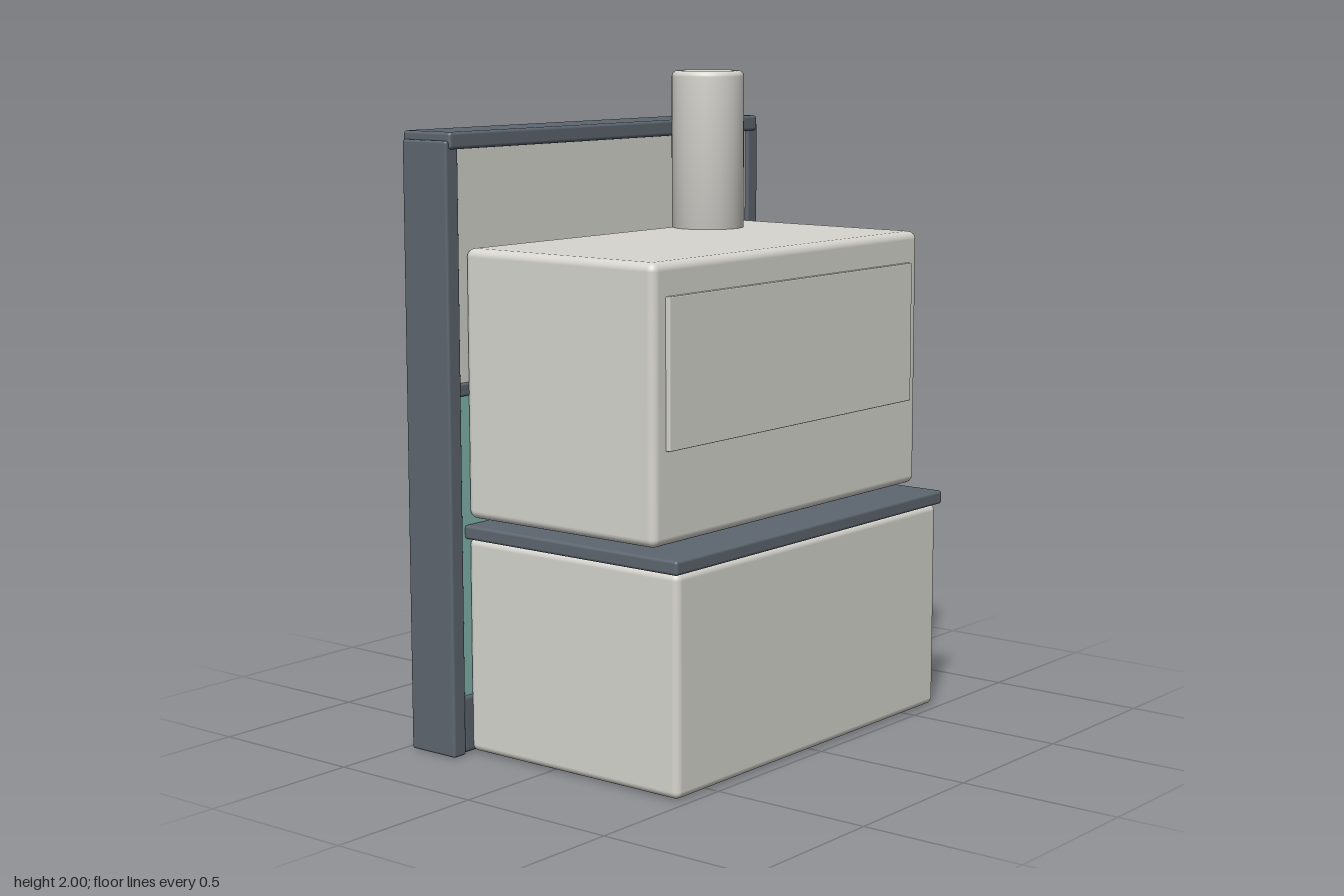
import * as THREE from 'three';
import { RoundedBoxGeometry } from 'three/addons/geometries/RoundedBoxGeometry.js';

export function createModel() {
  const group = new THREE.Group();
  group.name = 'wallOven';

  const mat = (name, color) => {
    const m = new THREE.MeshStandardMaterial({ color });
    m.name = name;
    return m;
  };
  const plaster = mat('pale plaster', 0xd6d5cf);
  const frame = mat('slate frame', 0x5d666f);
  const teal = mat('teal panel', 0x84b8b0);

  const add = (name, geometry, material) => {
    const mesh = new THREE.Mesh(geometry, material);
    mesh.name = name;
    group.add(mesh);
    return mesh;
  };
  // Rounded block given by its limits on each axis
  const block = (name, material, [x0, x1], [y0, y1], [z0, z1], r) => {
    const g = new RoundedBoxGeometry(x1 - x0, y1 - y0, z1 - z0, 3, r);
    g.translate((x0 + x1) / 2, (y0 + y1) / 2, (z0 + z1) / 2);
    return add(name, g, material);
  };

  // Wall frame: posts, cap and rails
  const depth = [-0.48, -0.305];
  block('leftPost', frame, [0.685, 0.737], [0, 1.82], depth, 0.008);
  block('rightPost', frame, [-0.737, -0.685], [0, 1.82], depth, 0.008);
  block('capRail', frame, [-0.726, 0.726], [1.795, 1.845], [-0.487, -0.298], 0.01);
  block('middleRail', frame, [-0.69, 0.69], [1.075, 1.115], [-0.476, -0.309], 0.008);
  block('bottomRail', frame, [-0.69, 0.69], [0.003, 0.177], [-0.476, -0.309], 0.012);

  // Panels set into the frame
  block('upperPanel', plaster, [-0.688, 0.688], [1.11, 1.8], [-0.468, -0.317], 0.003);
  block('lowerPanel', teal, [-0.688, 0.688], [0.17, 1.08], [-0.468, -0.317], 0.003);

  // Base cabinet, counter and upper body
  block('baseCabinet', plaster, [-0.653, 0.65], [0.003, 0.652], [-0.32, 0.474], 0.022);
  block('counter', frame, [-0.668, 0.666], [0.65, 0.692], [-0.32, 0.484], 0.009);
  block('upperBody', plaster, [-0.653, 0.65], [0.71, 1.507], [-0.32, 0.391], 0.025);
  block('frontPlate', plaster, [-0.6, 0.595], [0.98, 1.412], [0.38, 0.406], 0.003);

  // Small discs under the upper body
  for (const x of [-0.37, -0.078, 0.215]) {
    add('undersideDisc', new THREE.CylinderGeometry(0.055, 0.05, 0.016, 32), frame)
      .position.set(x, 0.709, 0);
  }

  // Chimney pipe with a softened top edge
  const r = 0.114;
  const profile = [
    [0, 1.49], [r, 1.49], [r, 1.49], [r, 1.982], [r - 0.001, 1.988],
    [r - 0.005, 1.995], [r - 0.012, 1.999], [r - 0.018, 2], [0, 2],
  ].map(([x, y]) => new THREE.Vector2(x, y)).filter((p, i) => i !== 2);
  add('chimney', new THREE.LatheGeometry(profile, 48), plaster).position.set(0.36, 0, -0.217);

  return group;
}
